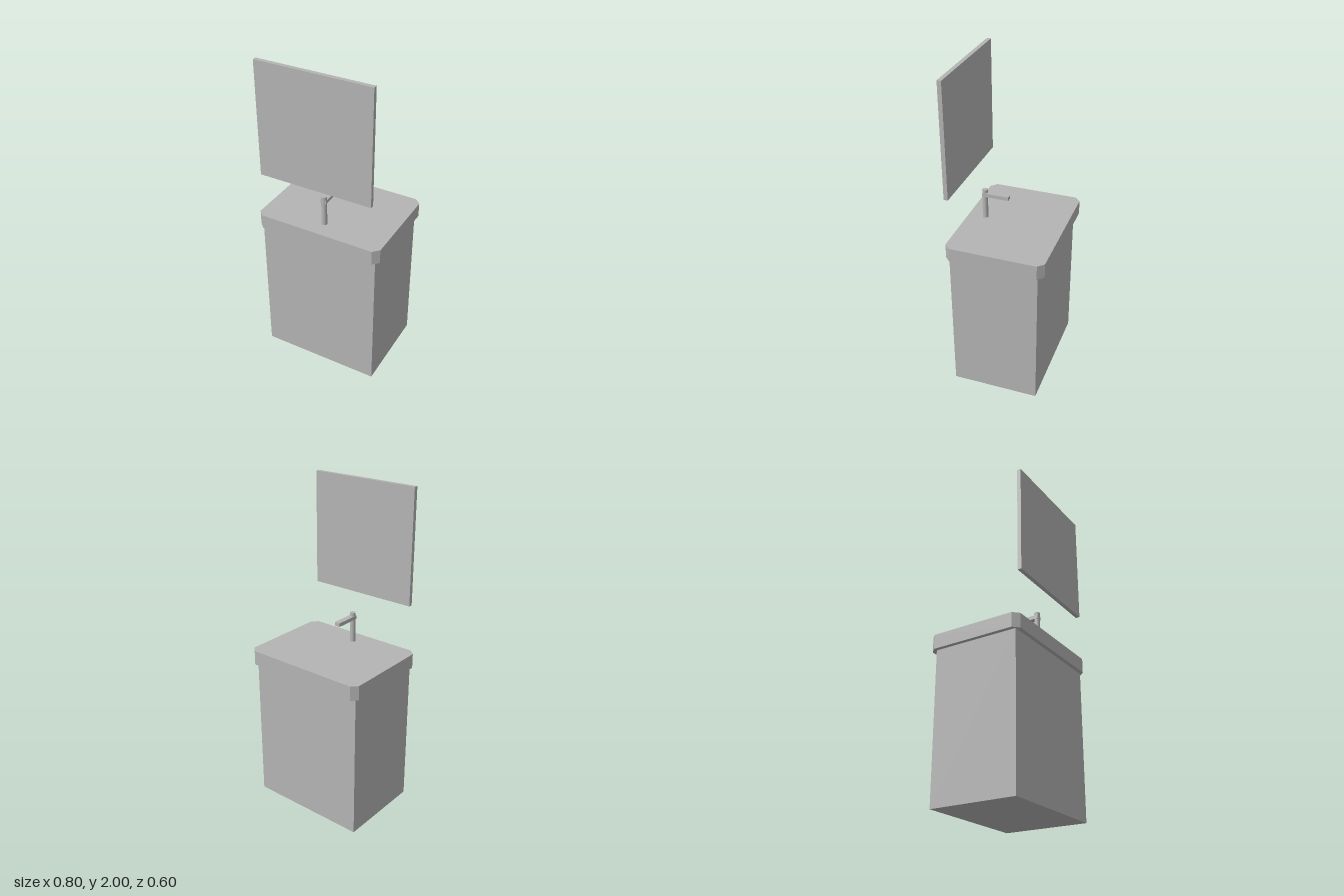
import * as THREE from 'three';

export function createModel() {
  const model = new THREE.Group();
  const grey = new THREE.MeshStandardMaterial({ color: 0xb4b4b4 });
  grey.name = 'plain grey';

  const add = (name, geometry, x, y, z) => {
    const mesh = new THREE.Mesh(geometry, grey);
    mesh.name = name;
    mesh.position.set(x, y, z);
    model.add(mesh);
    return mesh;
  };
  // Box given by its lower and upper corners
  const addBox = (name, [x0, y0, z0], [x1, y1, z1]) =>
    add(name, new THREE.BoxGeometry(x1 - x0, y1 - y0, z1 - z0),
      (x0 + x1) / 2, (y0 + y1) / 2, (z0 + z1) / 2);

  // Cabinet body
  addBox('cabinet', [-0.375, 0, -0.262], [0.375, 0.92, 0.275]);

  // Basin top: slab with chamfered corners
  const w = 0.4, d = 0.3, c = 0.036;
  const outline = new THREE.Shape([
    [w - c, -d], [w, c - d], [w, d - c], [w - c, d],
    [c - w, d], [-w, d - c], [-w, c - d], [c - w, -d],
  ].map(([x, y]) => new THREE.Vector2(x, y)));
  const slab = new THREE.ExtrudeGeometry(outline, { depth: 0.09, bevelEnabled: false });
  slab.rotateX(-Math.PI / 2);
  add('basinTop', slab, 0, 0.92, 0);

  // Tap: upright post and flat spout
  add('tapPost', new THREE.CylinderGeometry(0.017, 0.017, 0.19, 24), 0, 1.105, 0.193);
  addBox('tapSpout', [-0.018, 1.157, 0.04], [0.018, 1.18, 0.205]);

  // Mirror panel floating above the basin
  addBox('mirror', [-0.352, 1.3, 0.275], [0.352, 2, 0.3]);

  return model;
}
